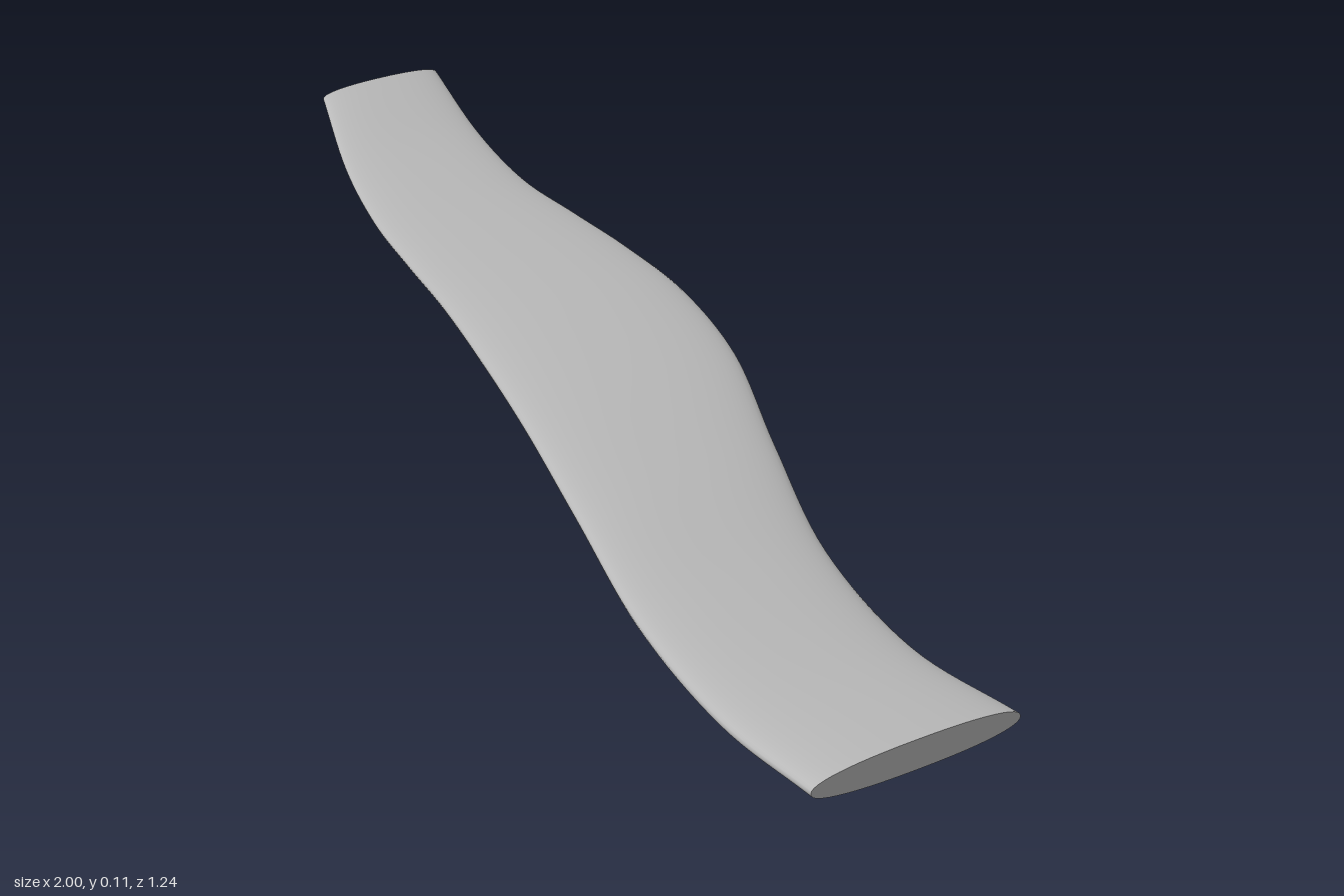
import * as THREE from 'three';

// Stations along the band: back edge x, z, front edge x, z, mid height, half thickness
const stations = [
  [-0.975, -0.62, -1.0, -0.41, 0.046, 0.013],
  [-0.78, -0.527, -0.8, -0.28, 0.018, 0.013],
  [-0.58, -0.432, -0.6, -0.16, 0.018, 0.014],
  [-0.38, -0.345, -0.4, -0.045, 0.04, 0.015],
  [-0.18, -0.25, -0.2, 0.072, 0.069, 0.016],
  [0.02, -0.155, 0.0, 0.19, 0.088, 0.017],
  [0.22, -0.043, 0.2, 0.302, 0.09, 0.017],
  [0.42, 0.098, 0.4, 0.41, 0.073, 0.017],
  [0.62, 0.225, 0.6, 0.51, 0.043, 0.017],
  [0.82, 0.304, 0.79, 0.578, 0.021, 0.018],
  [1.0, 0.335, 0.96, 0.62, 0.019, 0.018],
];
const STEPS = 80;
const SIDES = 48;

const curveOf = (pick) =>
  new THREE.CatmullRomCurve3(stations.map((s) => new THREE.Vector3(...pick(s))), false, 'catmullrom', 0.5);
const backEdge = curveOf((s) => [s[0], s[4], s[1]]);
const frontEdge = curveOf((s) => [s[2], s[4], s[3]]);
const thickness = curveOf((s) => [s[0], s[5], 0]);

// Flattened oval cross-section at t
function section(t) {
  const back = backEdge.getPoint(t);
  const front = frontEdge.getPoint(t);
  const mid = back.clone().add(front).multiplyScalar(0.5);
  const half = front.clone().sub(mid);
  const h = thickness.getPoint(t).y;
  const bend = (v) => Math.sign(v) * Math.abs(v) ** 0.85;
  const ring = [];
  for (let j = 0; j < SIDES; j++) {
    const a = (j / SIDES) * Math.PI * 2;
    const p = mid.clone().addScaledVector(half, bend(Math.cos(a)));
    p.y += h * bend(Math.sin(a));
    ring.push(p);
  }
  return { ring, mid };
}

function geometryFrom(points, index) {
  const g = new THREE.BufferGeometry().setFromPoints(points);
  g.setIndex(index);
  g.computeVertexNormals();
  return g;
}

// Smooth skin lofted through the sections
function skinGeometry() {
  const points = [];
  const index = [];
  for (let i = 0; i <= STEPS; i++) points.push(...section(i / STEPS).ring);
  for (let i = 0; i < STEPS; i++) {
    for (let j = 0; j < SIDES; j++) {
      const k = (j + 1) % SIDES;
      const a = i * SIDES + j;
      const b = a + SIDES;
      const c = (i + 1) * SIDES + k;
      const d = i * SIDES + k;
      index.push(a, b, c, a, c, d);
    }
  }
  return geometryFrom(points, index);
}

// Flat end face
function capGeometry(t) {
  const { ring, mid } = section(t);
  const index = [];
  for (let j = 0; j < SIDES; j++) {
    const k = (j + 1) % SIDES;
    index.push(SIDES, ...(t === 0 ? [j, k] : [k, j]));
  }
  return geometryFrom([...ring, mid], index);
}

export function createModel() {
  const group = new THREE.Group();
  group.name = 'wavyBand';
  const grey = new THREE.MeshStandardMaterial({ color: 0xb8b8b8 });
  grey.name = 'light grey';
  const add = (name, geometry) => {
    const mesh = new THREE.Mesh(geometry, grey);
    mesh.name = name;
    group.add(mesh);
  };
  add('bandSkin', skinGeometry());
  add('rightEnd', capGeometry(0));
  add('leftEnd', capGeometry(1));
  return group;
}
